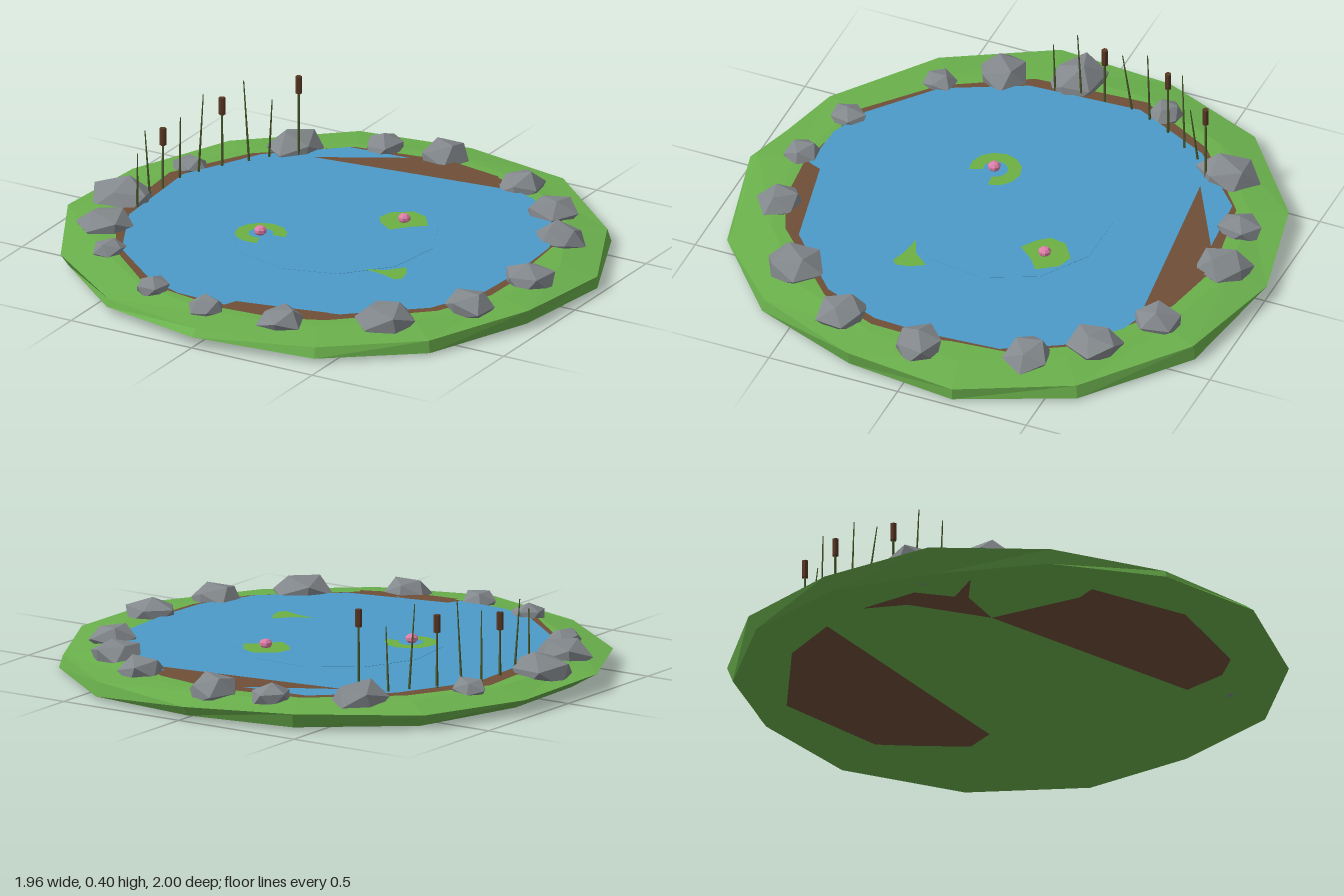
import * as THREE from 'three';

const mat = (name, color) => {
  const m = new THREE.MeshStandardMaterial({ color, flatShading: true });
  m.name = name;
  return m;
};

export function createModel() {
  const model = new THREE.Group();
  model.name = 'pond';
  const grass = mat('grass green', 0x6ab04c);
  const mud = mat('mud brown', 0x6f4e37);
  const water = mat('water blue', 0x4b9ac9);
  const stone = mat('stone grey', 0x83888c);
  const leaf = mat('lily green', 0x6cb043);
  const petal = mat('petal pink', 0xdf7fa8);
  const stalk = mat('reed green', 0x4c5c2c);
  const seed = mat('cattail brown', 0x5a3825);

  const add = (name, geo, material, parent = model) => {
    const m = new THREE.Mesh(geo, material);
    m.name = name;
    parent.add(m);
    return m;
  };
  let s = 11;
  const rnd = () => (s = (s * 16807) % 2147483647) / 2147483647;

  // Flat polygon at height y from [x, z] points, facing up or down
  const plate = (name, pts, y, material, down = false) => {
    const k = down ? 1 : -1;
    const shape = new THREE.Shape(pts.map(([x, z]) => new THREE.Vector2(x, k * z)));
    const geo = new THREE.ShapeGeometry(shape).rotateX(k * Math.PI / 2);
    return add(name, geo.translate(0, y, 0), material);
  };

  // Grass bank: irregular 14-sided slab built from rings
  const rim = [[-0.02, -1], [0.42, -0.9], [0.78, -0.6], [0.975, -0.2], [0.94, 0.22], [0.76, 0.62], [0.44, 0.88],
    [0, 0.97], [-0.42, 0.87], [-0.78, 0.6], [-0.98, 0.21], [-0.965, -0.22], [-0.8, -0.62], [-0.43, -0.91]];
  const foot = [0.975, 1.01, 1.015, 1, 0.99, 1.01, 1.02, 1.03, 1.01, 0.97, 0.9, 0.95, 0.97, 0.98];
  const footY = [0.02, 0.015, 0.01, 0.012, 0.015, 0.012, 0.02, 0.045, 0.03, 0.012, 0.01, 0.02, 0.012, 0.015];
  const rings = [
    rim.map(() => [0, 0.08, 0]),
    rim.map(([x, z]) => [x * 0.86, 0.08, z * 0.86]),
    rim.map(([x, z], i) => [x, 0.056 + 0.012 * (i % 3 === 1), z]),
    rim.map(([x, z], i) => [x * foot[i], footY[i], z * foot[i]]),
    rim.map(() => [0, 0.012, 0]),
  ];
  const pos = [];
  for (let r = 0; r < 4; r++) {
    const A = rings[r], B = rings[r + 1];
    for (let i = 0; i < 14; i++) {
      const j = (i + 1) % 14;
      if (r < 3) pos.push(...A[i], ...B[j], ...B[i]);
      if (r > 0) pos.push(...A[i], ...A[j], ...B[j]);
    }
  }
  const bank = new THREE.BufferGeometry();
  bank.setAttribute('position', new THREE.Float32BufferAttribute(pos, 3));
  bank.computeVertexNormals();
  add('grassBank', bank, grass);

  // Mud bed showing as a rim around the water
  plate('mudBed', [[0, -0.8], [0.25, -0.75], [0.4, -0.66], [0.62, -0.49], [0.73, -0.3], [0.75, -0.1], [0.775, 0], [0.77, 0.2],
    [0.68, 0.42], [0.38, 0.7], [0.22, 0.77], [0, 0.79], [-0.36, 0.73], [-0.6, 0.52], [-0.77, 0.22], [-0.8, -0.2],
    [-0.64, -0.5], [-0.35, -0.74]], 0.084, mud);

  // Water surface with a faint raised centre
  plate('waterSurface', [[-0.02, -0.75], [0.28, -0.7], [0.45, -0.64], [0.62, -0.48], [0.73, -0.28], [0.75, 0], [0.74, 0.2],
    [0.65, 0.42], [0.4, 0.64], [0.02, 0.72], [0, 0.77], [-0.2, 0.76], [-0.35, 0.7], [-0.58, 0.51], [-0.72, 0.22], [-0.745, -0.2],
    [-0.6, -0.5], [-0.36, -0.72]], 0.089, water);
  add('waterCentre', new THREE.CylinderGeometry(0.38, 0.38, 0.002, 11).translate(0, 0.089, 0), water);

  // Mud bars breaking the surface, and mud showing underneath
  plate('backMudBar', [[-0.42, -0.57], [0.3, -0.66], [0.24, -0.75], [0, -0.79], [-0.1, -0.75]], 0.091, mud);
  plate('frontMudBar', [[0.02, 0.73], [0.36, 0.65], [0.38, 0.69], [0.2, 0.76], [0.02, 0.78]], 0.091, mud);
  plate('underMudBack', [[0.45, -0.4], [0.33, -0.6], [0.27, -0.69], [-0.17, -0.81], [-0.55, -0.58], [-0.69, -0.36],
    [0.39, -0.29]], 0.004, mud, true);
  plate('underMudFront', [[0.4, 0.51], [0.35, 0.68], [0.25, 0.77], [-0.16, 0.81], [-0.51, 0.62], [-0.47, 0.55],
    [-0.79, 0.28], [-0.69, 0.16], [-0.76, -0.18], [-0.47, 0.19]].filter((p, i) => i < 6 || i > 8), 0.004, mud, true);
  plate('underMudSide', [[-0.47, 0.19], [-0.71, -0.02], [-0.76, -0.18], [-0.79, 0.05], [-0.69, 0.16], [-0.79, 0.28],
    [-0.66, 0.2]], 0.004, mud, true);

  // Stones around the shore: x, z, half width, half depth
  const stones = new THREE.Group();
  stones.name = 'shoreStones';
  model.add(stones);
  for (const [x, z, w, d] of [
    [-0.03, -0.83, 0.095, 0.11], [0.35, -0.73, 0.085, 0.1], [0.56, -0.58, 0.095, 0.1], [0.71, -0.38, 0.095, 0.085],
    [0.81, 0, 0.095, 0.09], [0.75, 0.32, 0.1, 0.095], [0.56, 0.58, 0.11, 0.11], [0.24, 0.78, 0.085, 0.09],
    [-0.05, 0.82, 0.07, 0.07], [-0.31, 0.75, 0.065, 0.07], [-0.62, 0.53, 0.065, 0.065], [-0.75, 0.33, 0.105, 0.095],
    [-0.82, 0.08, 0.125, 0.105], [-0.77, -0.29, 0.07, 0.065], [-0.53, -0.63, 0.1, 0.115], [-0.26, -0.79, 0.07, 0.09],
  ]) {
    const geo = new THREE.IcosahedronGeometry(1, 0).rotateX(rnd() * 3).rotateY(rnd() * 6);
    const p = geo.attributes.position, seen = {};
    for (let i = 0; i < p.count; i++) {
      const v = new THREE.Vector3().fromBufferAttribute(p, i);
      const key = v.toArray().map((n) => Math.round(n * 100)).join();
      v.multiplyScalar(seen[key] ??= 0.92 + rnd() * 0.22);
      p.setXYZ(i, v.x, v.y, v.z);
    }
    geo.scale(w, 0.32 * (w + d), d).computeVertexNormals();
    add('stone', geo, stone, stones).position.set(x, 0.082, z);
  }

  // Lily pads and blossoms
  add('ringLilyPad', new THREE.RingGeometry(0.045, 0.095, 10, 1, 0.1, 5).rotateX(-Math.PI / 2), leaf)
    .position.set(-0.22, 0.094, 0.14);
  plate('roundLilyPad', [[0.15, -0.31], [0.21, -0.29], [0.26, -0.22], [0.21, -0.18], [0.16, -0.12], [0.1, -0.16],
    [0.07, -0.2], [0.08, -0.26]], 0.094, leaf);
  plate('sunkenLilyPad', [[0.39, 0.15], [0.42, 0.2], [0.43, 0.25], [0.41, 0.27], [0.35, 0.25], [0.27, 0.24],
    [0.34, 0.21]], 0.094, leaf);
  for (const [x, z] of [[-0.22, 0.145], [0.165, -0.215]]) {
    add('blossom', new THREE.SphereGeometry(0.024, 7, 5).scale(1, 0.75, 1), petal).position.set(x, 0.106, z);
  }

  // Reeds: base x, base z, tip x, tip z, tip height, has cattail head
  const reeds = new THREE.Group();
  reeds.name = 'reeds';
  model.add(reeds);
  for (const [x0, z0, x1, z1, h, head] of [
    [-0.74, 0.13, -0.735, 0.135, 0.29, 0], [-0.745, 0.03, -0.755, 0.05, 0.345, 0], [-0.745, -0.06, -0.745, -0.06, 0.315, 1],
    [-0.74, -0.17, -0.72, -0.14, 0.335, 0], [-0.71, -0.25, -0.69, -0.25, 0.39, 0], [-0.665, -0.34, -0.665, -0.34, 0.35, 1],
    [-0.605, -0.43, -0.62, -0.415, 0.4, 0], [-0.565, -0.5, -0.54, -0.48, 0.32, 0], [-0.48, -0.565, -0.48, -0.565, 0.39, 1],
  ]) {
    const a = new THREE.Vector3(x0, 0.07, z0), b = new THREE.Vector3(x1, h, z1);
    const dir = b.clone().sub(a), len = dir.length();
    const reed = add('reed', new THREE.CylinderGeometry(head ? 0.004 : 0.002, 0.005, len, 5), stalk, reeds);
    reed.position.copy(a).add(b).multiplyScalar(0.5);
    reed.quaternion.setFromUnitVectors(new THREE.Vector3(0, 1, 0), dir.normalize());
    if (head) add('cattailHead', new THREE.CylinderGeometry(0.012, 0.012, 0.065, 6), seed, reeds).position.set(x1, h - 0.03, z1);
  }
  return model;
}
